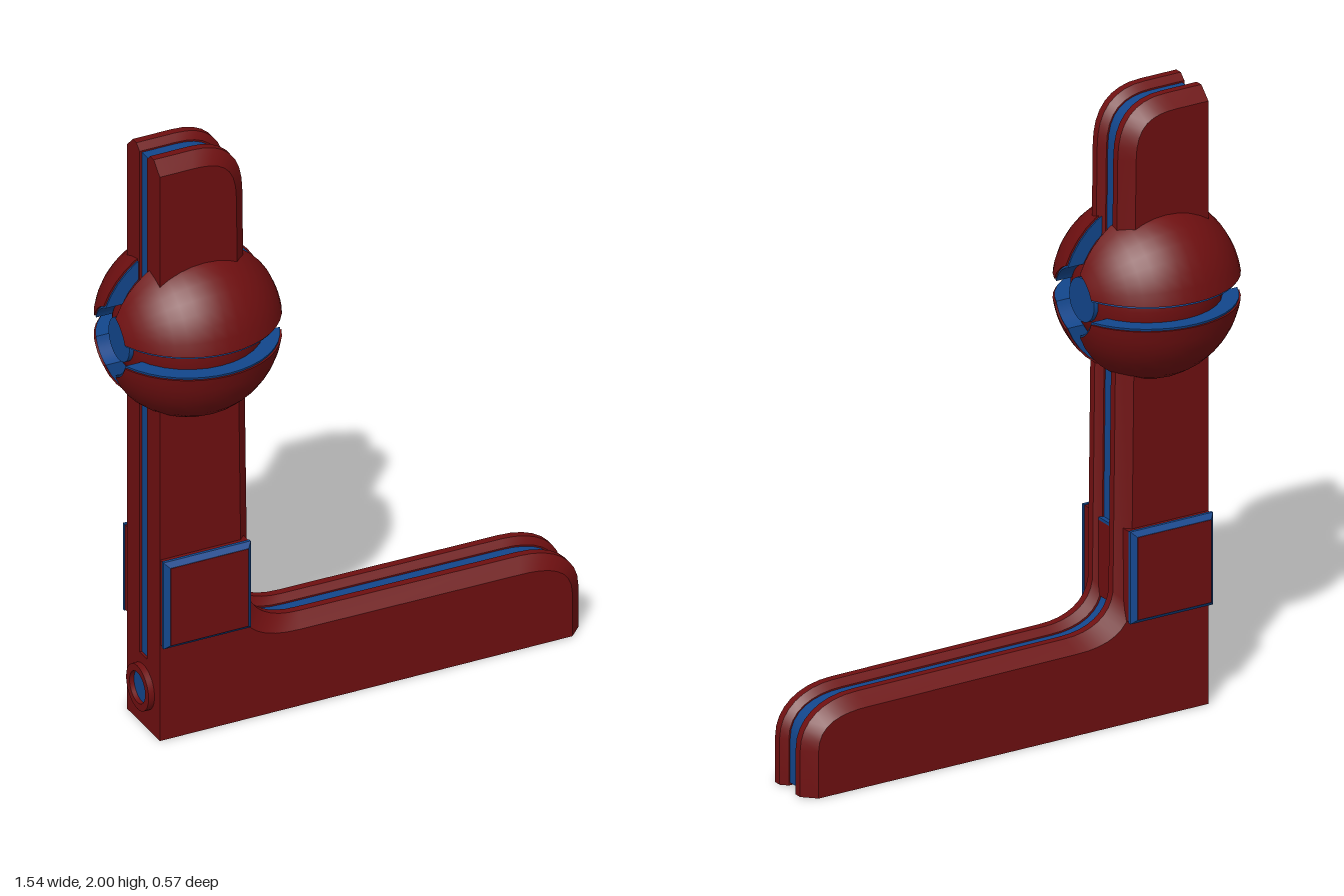
import * as THREE from 'three';
import { toCreasedNormals } from 'three/addons/utils/BufferGeometryUtils.js';

const red = new THREE.MeshStandardMaterial({ color: 0x6e0f10 });
const blue = new THREE.MeshStandardMaterial({ color: 0x12468c });

function add(parent, name, geometry, material, x = 0, y = 0, z = 0) {
  const mesh = new THREE.Mesh(geometry, material);
  mesh.name = name;
  mesh.position.set(x, y, z);
  parent.add(mesh);
  return mesh;
}

// Skin a stack of counter-clockwise outlines [{ z, pts }], z increasing
function loft(layers, caps = true) {
  const n = layers[0].pts.length;
  const pos = [];
  const idx = [];
  for (const { z, pts } of layers) for (const p of pts) pos.push(p.x, p.y, z);
  for (let l = 0; l < layers.length - 1; l++) {
    for (let i = 0; i < n; i++) {
      const a = l * n + i;
      const b = l * n + (i + 1) % n;
      idx.push(a, b, b + n, a, b + n, a + n);
    }
  }
  if (caps) {
    const last = (layers.length - 1) * n;
    for (const [a, b, c] of THREE.ShapeUtils.triangulateShape(layers[0].pts, [])) idx.push(a, c, b);
    for (const [a, b, c] of THREE.ShapeUtils.triangulateShape(layers[layers.length - 1].pts, [])) {
      idx.push(last + a, last + b, last + c);
    }
  }
  const geo = new THREE.BufferGeometry();
  geo.setAttribute('position', new THREE.Float32BufferAttribute(pos, 3));
  geo.setIndex(idx);
  return toCreasedNormals(geo, 0.5);
}

// L outline: d insets the upper and right edges, e the back and bottom edges
function outline(d, e = 0) {
  const s = new THREE.Shape();
  s.moveTo(-0.65 + e, e);
  s.lineTo(0.78 - d, e);
  s.lineTo(0.78 - d, 0.15);
  s.bezierCurveTo(0.78 - d, 0.24, 0.70 - d, 0.30 - d, 0.58 - d / 2, 0.30 - d);
  s.lineTo(-0.16 - d / 2, 0.305 - d);
  s.bezierCurveTo(-0.26 - d, 0.305 - d, -0.325 - d, 0.345 - d, -0.335 - d, 0.42 - d);
  s.lineTo(-0.352 - d, 1.82);
  s.bezierCurveTo(-0.352 - d, 1.94, -0.41 - d, 2 - d, -0.52 - d / 2, 2 - d);
  s.lineTo(-0.65 + e, 2 - d);
  return s.getPoints(8);
}

// Quarter of a ball, cut back by the slots (gap) and the axle hole
function ballQuarter(R, gap, hole, k) {
  const layers = [];
  const t0 = Math.asin(hole / R);
  const rings = 16;
  const steps = 8;
  for (let i = 0; i <= rings; i++) {
    const t = t0 + (Math.PI - 2 * t0) * i / rings;
    const pts = [];
    const arc = (rho, reverse) => {
      const lo = Math.asin(gap / rho);
      for (let j = 0; j <= steps; j++) {
        const f = (reverse ? steps - j : j) / steps;
        const a = k * Math.PI / 2 + lo + (Math.PI / 2 - 2 * lo) * f;
        pts.push(new THREE.Vector2(rho * Math.cos(a), rho * Math.sin(a)));
      }
    };
    arc(Math.max(R * Math.sin(t), hole), false);
    arc(hole, true);
    layers.push({ z: -R * Math.cos(t), pts });
  }
  return loft(layers, false).rotateY(Math.PI / 2);
}

function rect(w, h) {
  return [[-1, -1], [1, -1], [1, 1], [-1, 1]].map(([x, y]) => new THREE.Vector2(x * w / 2, y * h / 2));
}

export function createModel() {
  const model = new THREE.Group();
  model.name = 'angledTool';

  // Two chamfered side plates around a thin core
  const section = [[0.025, 0.02], [0.045, 0], [0.07, 0], [0.11, 0.04]];
  const plate = section.map(([z, d]) => ({ z, pts: outline(d) }));
  const mirrored = plate.map(({ z, pts }) => ({ z: -z, pts })).reverse();
  add(model, 'leftPlate', loft(plate), red);
  add(model, 'rightPlate', loft(mirrored), red);
  add(model, 'core', loft([-0.027, 0.027].map(z => ({ z, pts: outline(0.025, 0.008) }))), blue);

  // Solid heel and the socket ring on its back
  add(model, 'heelBlock', new THREE.BoxGeometry(0.2, 0.24, 0.06), red, -0.55, 0.12, 0);
  const ring = [[0.052, 0], [0.075, 0], [0.075, 0.02], [0.052, 0.02], [0.052, 0]];
  const socket = new THREE.LatheGeometry(ring.map(p => new THREE.Vector2(...p)), 24);
  add(model, 'socketRing', toCreasedNormals(socket.rotateZ(Math.PI / 2), 0.5), red, -0.65, 0.135, 0);
  const disc = new THREE.CylinderGeometry(0.053, 0.053, 0.01, 24).rotateZ(Math.PI / 2);
  add(model, 'socketDisc', disc, blue, -0.65, 0.135, 0);

  // Clamp pads with bevelled rims, and the bridge between the plates
  const clamp = new THREE.Group();
  clamp.name = 'clamp';
  clamp.position.set(-0.503, 0.482, 0);
  model.add(clamp);
  const rim = loft([
    { z: 0.125, pts: rect(0.294, 0.3) },
    { z: 0.135, pts: rect(0.294, 0.3) },
    { z: 0.15, pts: rect(0.264, 0.27) },
  ]);
  for (const turn of [0, Math.PI]) {
    const pad = new THREE.Group();
    pad.name = 'clampPad';
    pad.rotation.y = turn;
    add(pad, 'padBase', new THREE.BoxGeometry(0.29, 0.294, 0.045), red, 0, 0, 0.103);
    add(pad, 'padRim', rim, blue);
    add(pad, 'padFace', new THREE.BoxGeometry(0.262, 0.268, 0.01), red, 0, 0, 0.1465);
    clamp.add(pad);
  }
  add(clamp, 'clampBridge', new THREE.BoxGeometry(0.14, 0.245, 0.06), red, 0.085, 0.012, 0);
  add(clamp, 'clampBridgeTrim', new THREE.BoxGeometry(0.14, 0.01, 0.06), blue, 0.085, 0.139, 0);

  // Slotted ball: four quarters with lined slots around an inner ball and axle
  const ball = new THREE.Group();
  ball.name = 'ball';
  ball.position.set(-0.5, 1.36, 0);
  model.add(ball);
  for (let k = 0; k < 4; k++) {
    add(ball, 'ballQuarter', ballQuarter(0.286, 0.04, 0.11, k), red);
    add(ball, 'slotLining', ballQuarter(0.28, 0.033, 0.104, k), blue);
  }
  add(ball, 'innerBall', new THREE.SphereGeometry(0.23, 32, 20), red);
  add(ball, 'axle', new THREE.CylinderGeometry(0.07, 0.07, 0.464, 24).rotateZ(Math.PI / 2), blue);

  return model;
}
